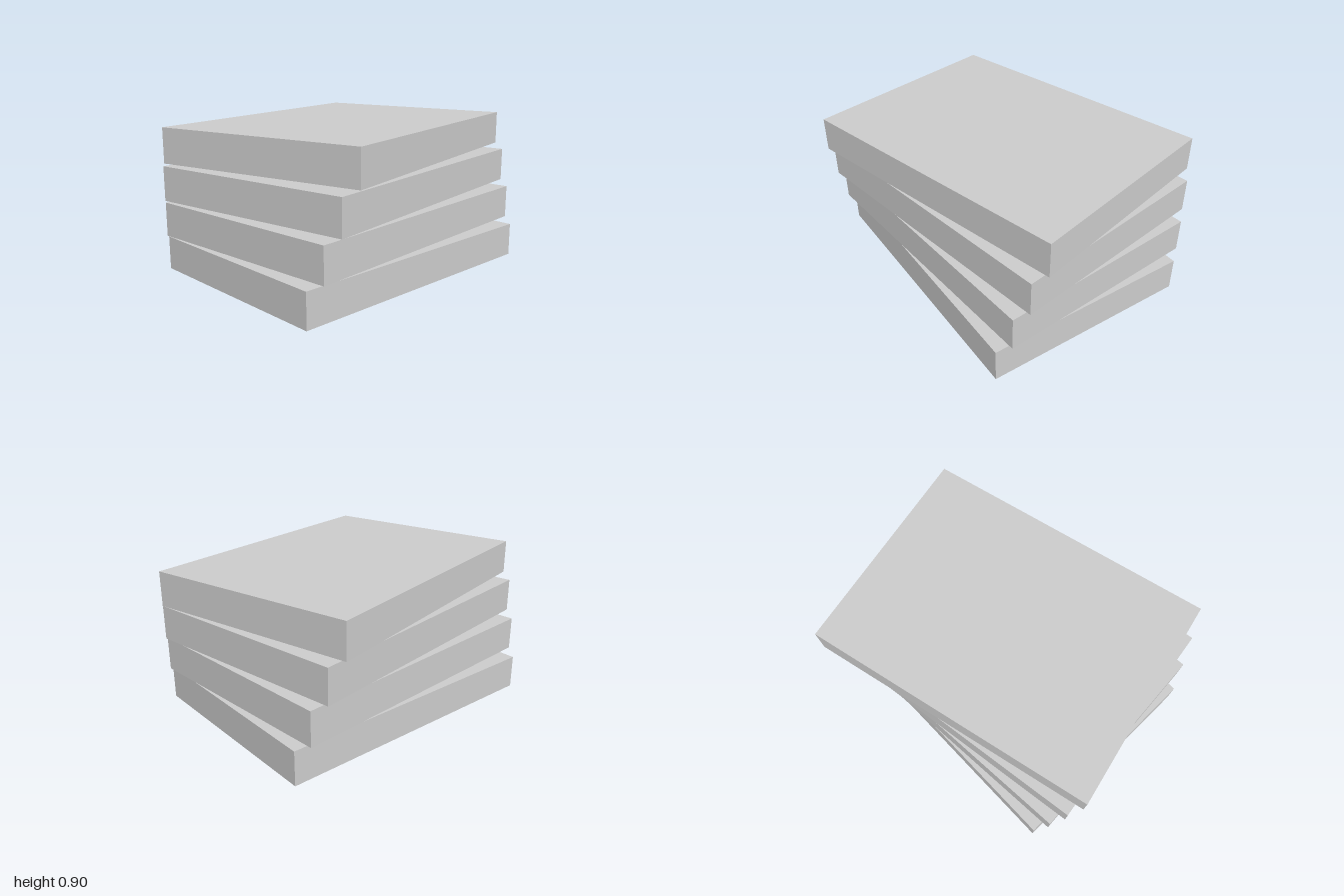
import * as THREE from 'three';

const COUNT = 4;
const WIDTH = 1.28, HEIGHT = 0.203, DEPTH = 1.745;
const SPACING = 0.2335; // leaves a thin gap between slabs
const TWIST = 0.08; // radians added per slab

export function createModel() {
  const model = new THREE.Group();
  model.name = 'twistedSlabStack';

  const lightGrey = new THREE.MeshStandardMaterial({ color: 0xcccccc });
  lightGrey.name = 'light grey';

  // Identical slabs, each turned a little further than the one below
  const slabGeometry = new THREE.BoxGeometry(WIDTH, HEIGHT, DEPTH);
  for (let i = 0; i < COUNT; i++) {
    const slab = new THREE.Mesh(slabGeometry, lightGrey);
    slab.name = `slab${i + 1}`;
    slab.position.y = HEIGHT / 2 + i * SPACING;
    slab.rotation.y = i * TWIST;
    model.add(slab);
  }
  return model;
}
